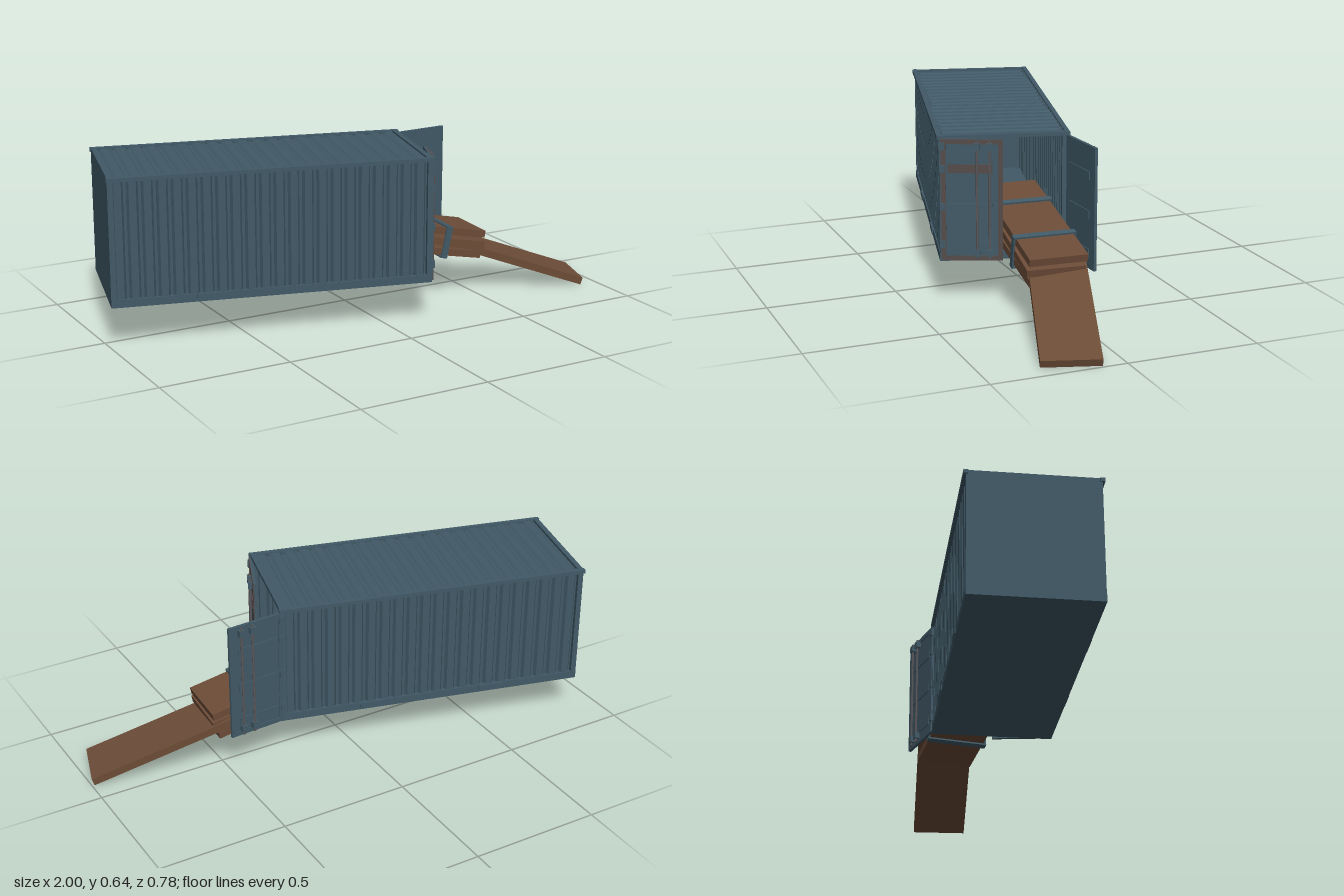
import * as THREE from 'three';

const steel = new THREE.MeshStandardMaterial({ color: 0x415a67, flatShading: true });
const wood = new THREE.MeshStandardMaterial({ color: 0x6c4c37, flatShading: true });
const rust = new THREE.MeshStandardMaterial({ color: 0x564c4a, flatShading: true });
const rodMetal = new THREE.MeshStandardMaterial({ color: 0x5a575a, flatShading: true });

function add(parent, name, geometry, material, x = 0, y = 0, z = 0) {
  const mesh = new THREE.Mesh(geometry, material);
  mesh.name = name;
  mesh.position.set(x, y, z);
  parent.add(mesh);
  return mesh;
}

function box(parent, name, w, h, d, x, y, z, material = steel) {
  return add(parent, name, new THREE.BoxGeometry(w, h, d), material, x, y, z);
}

// Trapezoidal corrugated sheet: ribs run along z, raised towards +y
function corrugated(length, ribs, rise, thickness, depth) {
  const pitch = length / ribs;
  const line = [];
  for (let i = 0; i < ribs; i++) {
    const x = -length / 2 + i * pitch;
    line.push([x, 0], [x + pitch * 0.2, 0], [x + pitch * 0.35, rise], [x + pitch * 0.85, rise]);
  }
  line.push([length / 2, 0]);
  const back = line.map(([x, y]) => [x, y - thickness]).reverse();
  const shape = new THREE.Shape([...line, ...back].map(([x, y]) => new THREE.Vector2(x, y)));
  return new THREE.ExtrudeGeometry(shape, { depth, bevelEnabled: false }).translate(0, 0, -depth / 2);
}

const L = 1.2, W = 0.472, BOTTOM = 0.157, TOP = 0.638;

function container() {
  const g = new THREE.Group();
  g.name = 'container';
  const midY = (BOTTOM + TOP) / 2, wallH = TOP - BOTTOM - 0.03;

  // Floor, closed end and roof
  box(g, 'floor', L, 0.028, W, 0, BOTTOM + 0.014, 0);
  box(g, 'endWall', 0.008, TOP - BOTTOM - 0.01, W, -L / 2 + 0.004, midY, 0);
  add(g, 'roof', corrugated(L - 0.03, 20, 0.006, 0.004, W), steel, 0, 0.627, 0);

  // Frame rails across both ends
  for (const s of [-1, 1]) {
    box(g, 'endTopRail', 0.02, 0.014, W, s * (L / 2 - 0.01), TOP - 0.008, 0);
  }

  for (const s of [-1, 1]) {
    // Ribbed side wall
    const wall = add(g, 'sideWall',
      corrugated(L - 0.03, 22, 0.013, 0.004, wallH).rotateX(-Math.PI / 2),
      steel, 0, BOTTOM + 0.025 + wallH / 2, s * (W / 2 - 0.014));
    if (s > 0) wall.rotation.y = Math.PI;

    // Side rails, corner posts and fork pockets
    box(g, 'topRail', L + 0.008, 0.015, 0.018, 0, TOP - 0.0075, s * (W / 2 + 0.002));
    box(g, 'bottomRail', L, 0.03, 0.012, 0, BOTTOM + 0.015, s * (W / 2 - 0.003));
    for (const e of [-1, 1]) {
      box(g, 'cornerPost', 0.02, TOP - BOTTOM - 0.004, 0.02, e * (L / 2 - 0.01), midY, s * (W / 2 - 0.008));
      box(g, 'forkPocket', 0.1, 0.022, 0.008, e * 0.24, BOTTOM + 0.018, s * (W / 2 + 0.003));
    }
  }
  g.position.set(-0.357, 0, -0.005);
  g.rotation.y = -0.252;
  return g;
}

// Door swings from its hinge at the origin along +x; side is the outer face
function door(name, side, frameMaterial) {
  const g = new THREE.Group();
  g.name = name;
  const w = 0.228, low = 0.163, high = 0.626, h = high - low, mid = (low + high) / 2;
  box(g, 'doorPanel', w, h, 0.008, w / 2, mid, 0);

  // Raised border on the outer face
  for (const x of [0.009, w - 0.009]) box(g, 'doorFrame', 0.018, h, 0.004, x, mid, side * 0.005, frameMaterial);
  for (const y of [low + 0.009, high - 0.009]) box(g, 'doorFrame', w - 0.036, 0.018, 0.004, w / 2, y, side * 0.005, frameMaterial);

  // Cross bars pass through the panel
  [0.222, 0.368, 0.515].forEach((y, i) =>
    box(g, 'crossBar', 0.165, 0.032, 0.016, 0.108, y, 0, i === 2 ? frameMaterial : steel));

  // Locking rods and their brackets
  for (const x of [0.133, 0.18]) {
    add(g, 'lockRod', new THREE.CylinderGeometry(0.0045, 0.0045, h - 0.01, 8), rodMetal, x, mid, side * 0.015);
    for (const y of [0.195, 0.6]) box(g, 'rodBracket', 0.022, 0.026, 0.02, x, y, side * 0.013);
  }

  // Hinges
  for (const y of [0.225, 0.37, 0.515, 0.6]) box(g, 'hinge', 0.02, 0.028, 0.014, 0.004, y, side * 0.004);
  return g;
}

// Plank whose origin is the top middle of its outer end
function plank(parent, name, length, thick, width) {
  return add(parent, name, new THREE.BoxGeometry(length, thick, width).translate(-length / 2, -thick / 2, 0), wood);
}

function plankStack() {
  const g = new THREE.Group();
  g.name = 'plankStack';
  const shift = [0, 0.004, -0.002], turn = [0, -0.02, 0.015];
  for (let i = 0; i < 3; i++) {
    const p = plank(g, 'stackedPlank', 0.61, 0.028, 0.222);
    p.position.set(shift[i], -i * 0.042, shift[i] * 2);
    p.rotation.y = turn[i];
  }
  // Straps wrapped round the stack
  const outer = new THREE.Shape(), hole = new THREE.Path();
  const rect = (path, w, h) => path.moveTo(-w, -h).lineTo(w, -h).lineTo(w, h).lineTo(-w, h).closePath();
  rect(outer, 0.121, 0.064);
  rect(hole, 0.114, 0.057);
  outer.holes.push(hole);
  const strap = new THREE.ExtrudeGeometry(outer, { depth: 0.026, bevelEnabled: false })
    .translate(0, 0, -0.013).rotateY(Math.PI / 2);
  for (const x of [-0.17, -0.44]) add(g, 'strap', strap, steel, x, -0.057, 0);

  g.position.set(0.55, 0.25, 0.06);
  g.rotation.set(0, -0.065, -0.2, 'YZX');
  return g;
}

export function createModel() {
  const model = new THREE.Group();
  model.name = 'openContainerWithPlanks';
  model.add(container());

  const nearDoor = door('nearDoor', 1, rust);
  nearDoor.position.set(0.167, 0, 0.37);
  nearDoor.rotation.y = 1.163;
  const farDoor = door('farDoor', -1, steel);
  farDoor.position.set(0.278, 0, -0.086);
  farDoor.rotation.y = 0.06;
  model.add(nearDoor, farDoor, plankStack());

  // Sloping ramp plank
  const ramp = plank(model, 'ramp', 0.62, 0.029, 0.214);
  ramp.position.set(0.967, 0.029, 0.193);
  ramp.rotation.set(0, -0.306, -0.34, 'YZX');
  return model;
}
